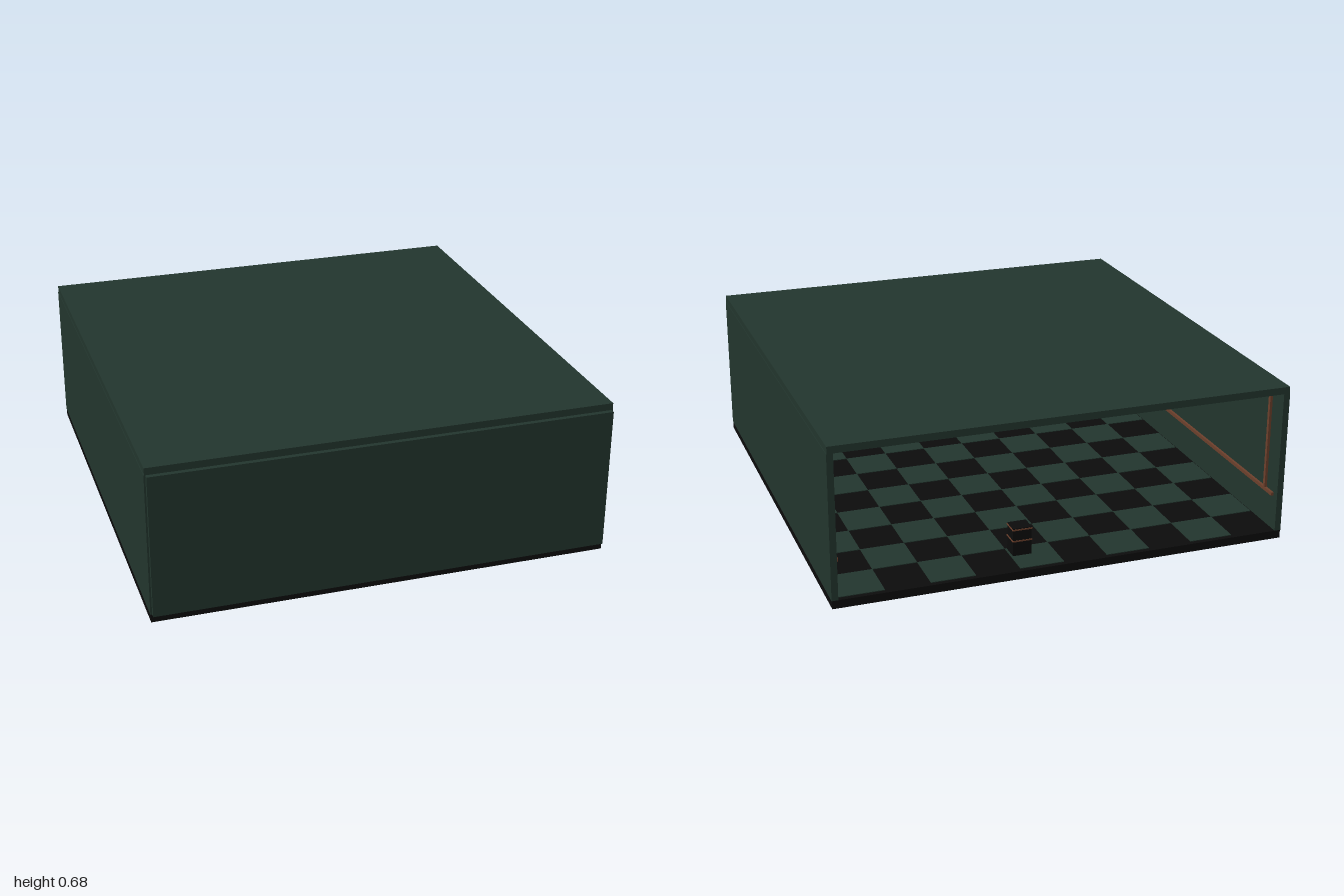
import * as THREE from 'three';

const mat = (name, color) => new THREE.MeshStandardMaterial({ name, color });

export function createModel() {
  const green = mat('dark green', 0x22352d);
  const black = mat('near black', 0x0b0b0b);
  const copper = mat('copper', 0x6b3f2b);
  const grey = mat('grey', 0x55584f);
  const room = new THREE.Group();
  room.name = 'room';

  // Box given by its minimum and maximum corners
  const box = (name, material, a, b, parent = room) => {
    const m = new THREE.Mesh(new THREE.BoxGeometry(b[0] - a[0], b[1] - a[1], b[2] - a[2]), material);
    m.position.set((a[0] + b[0]) / 2, (a[1] + b[1]) / 2, (a[2] + b[2]) / 2);
    m.name = name;
    parent.add(m);
    return m;
  };

  // Shell, open at the back
  box('floor', black, [-0.97, 0, -1], [0.97, 0.035, 0.98]);
  box('ceiling', green, [-0.97, 0.65, -1], [0.97, 0.68, 0.98]);
  box('frontWall', green, [-0.965, 0.035, 0.97], [0.965, 0.65, 1]);
  box('leftWall', green, [0.945, 0.035, -1], [0.972, 0.65, 0.98]);
  box('rightWall', green, [-0.972, 0.035, -1], [-0.945, 0.65, 0.98]);

  // Chequered floor
  const tiles = new THREE.Group();
  tiles.name = 'floorTiles';
  room.add(tiles);
  const s = 0.188;
  for (let i = 0; i < 10; i++) {
    for (let j = 0; j < 10; j++) {
      if ((i + j) % 2) continue;
      const x = 0.94 - i * s, z = -0.98 + j * s;
      box('tile', green, [x - s, 0.035, z], [x, 0.038, z + s], tiles);
    }
  }

  // Copper rails along the walls
  for (const x of [-1, 1]) {
    const rail = box('wallRail', copper, [-0.006, 0.185, -0.97], [0.006, 0.2, 0.97]);
    rail.position.x = x * 0.94;
  }
  box('frontRail', copper, [-0.945, 0.185, 0.96], [0.945, 0.2, 0.97]);
  box('wallStrip', copper, [-0.945, 0.2, -0.91], [-0.934, 0.65, -0.895]);

  // Copper strips across the ceiling
  for (let k = 0; k < 5; k++) {
    const z = -0.94 + k * 0.44;
    box('ceilingStrip', copper, [-0.945, 0.638, z - 0.008], [0.945, 0.65, z + 0.008]);
  }

  // Small crate with copper bands, and a plate on the floor
  const crate = new THREE.Group();
  crate.name = 'crate';
  room.add(crate);
  box('crateBody', black, [0.1, 0.035, -0.87], [0.18, 0.16, -0.8], crate);
  for (const y of [0.1, 0.15]) box('crateBand', copper, [0.098, y, -0.872], [0.182, y + 0.006, -0.798], crate);
  box('floorPlate', grey, [0.75, 0.038, 0], [0.81, 0.045, 0.05]);

  return room;
}
